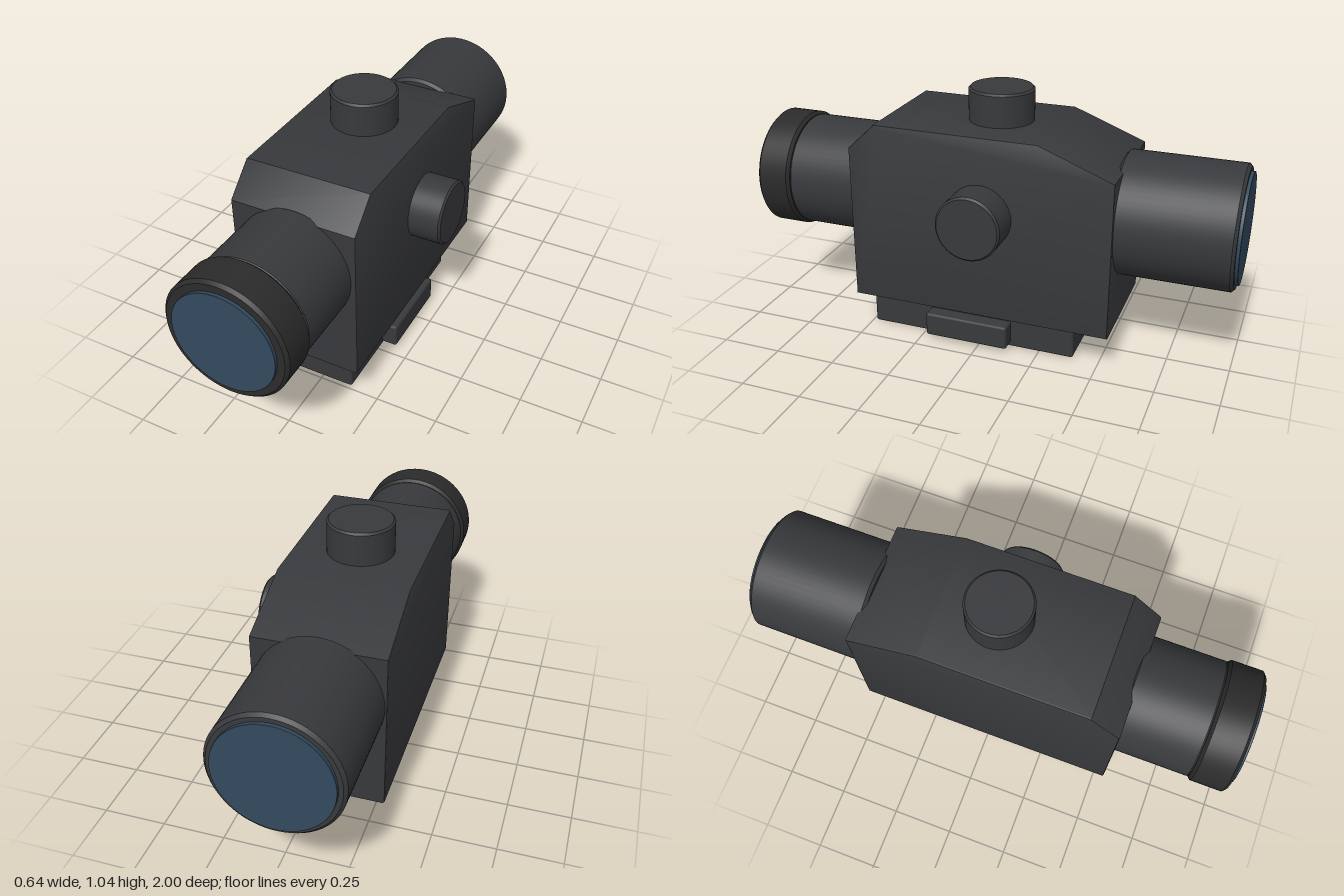
import * as THREE from 'three';
import { toCreasedNormals } from 'three/addons/utils/BufferGeometryUtils.js';
import { RoundedBoxGeometry } from 'three/addons/geometries/RoundedBoxGeometry.js';

const AXIS_X = -0.067, AXIS_Y = 0.59, KNOB_Z = -0.015;

export function createModel() {
  const group = new THREE.Group();
  const metal = new THREE.MeshStandardMaterial({ color: 0x38393c });
  const rubber = new THREE.MeshStandardMaterial({ color: 0x2b2b2b });
  const glass = new THREE.MeshStandardMaterial({ color: 0x334a5e });

  const add = (name, geometry, material) => {
    const mesh = new THREE.Mesh(geometry, material);
    mesh.name = name;
    group.add(mesh);
    return mesh;
  };

  // Solid cylinder with a small chamfer on both rims, standing on y = 0
  const chamferedCylinder = (radius, length, chamfer = 0.008) => {
    const profile = [
      [0, 0], [radius - chamfer, 0], [radius, chamfer],
      [radius, length - chamfer], [radius - chamfer, length], [0, length],
    ].map(([r, y]) => new THREE.Vector2(r, y));
    return toCreasedNormals(new THREE.LatheGeometry(profile, 64), 0.5);
  };

  // Cylinder on the optical axis between two z positions
  const barrel = (name, radius, z0, z1, material, chamfer) => {
    const geometry = chamferedCylinder(radius, z1 - z0, chamfer).rotateX(Math.PI / 2);
    add(name, geometry, material).position.set(AXIS_X, AXIS_Y, z0);
  };

  // Box given by its minimum and maximum corners
  const block = (name, min, max, radius) => {
    const size = max.map((v, i) => v - min[i]);
    const mesh = add(name, new RoundedBoxGeometry(...size, 2, radius), metal);
    mesh.position.set(...max.map((v, i) => (v + min[i]) / 2));
  };

  // Housing: side profile with sloping shoulders, extruded across the width
  const bevel = 0.008, left = 0.188, right = -0.322;
  const outline = [
    [-0.543, 0.15], [0.543, 0.15], [0.543, 0.798],
    [0.245, 0.912], [-0.425, 0.912], [-0.543, 0.8],
  ].map(([u, y]) => new THREE.Vector2(u, y));
  const housing = new THREE.ExtrudeGeometry(new THREE.Shape(outline), {
    depth: left - right - 2 * bevel,
    bevelThickness: bevel, bevelSize: bevel, bevelOffset: -bevel, bevelSegments: 2,
  });
  housing.rotateY(Math.PI / 2).translate(right + bevel, 0, 0);
  add('housing', toCreasedNormals(housing, 0.6), metal);

  // Front barrel, eyepiece ring and lens
  barrel('frontBarrel', 0.235, 0.52, 0.842, metal);
  barrel('frontRing', 0.246, 0.84, 0.988, rubber, 0.012);
  barrel('frontLens', 0.205, 0.95, 1, glass, 0.001);

  // Rear barrel and lens
  barrel('rearBarrel', 0.247, -0.987, -0.52, metal, 0.012);
  barrel('rearLens', 0.218, -1, -0.95, glass, 0.001);

  // Adjustment knobs on the top and the left side
  add('topKnob', chamferedCylinder(0.131, 0.165), metal)
    .position.set(AXIS_X, 0.88, KNOB_Z);
  add('sideKnob', chamferedCylinder(0.131, 0.16).rotateZ(-Math.PI / 2), metal)
    .position.set(0.161, AXIS_Y, KNOB_Z);

  // Mounting base with its clamp lever
  block('mountBase', [-0.263, 0, -0.393], [0.13, 0.152, 0.487], 0.01);
  block('clampLever', [0.128, 0.02, -0.13], [0.196, 0.12, 0.222], 0.01);

  return group;
}
